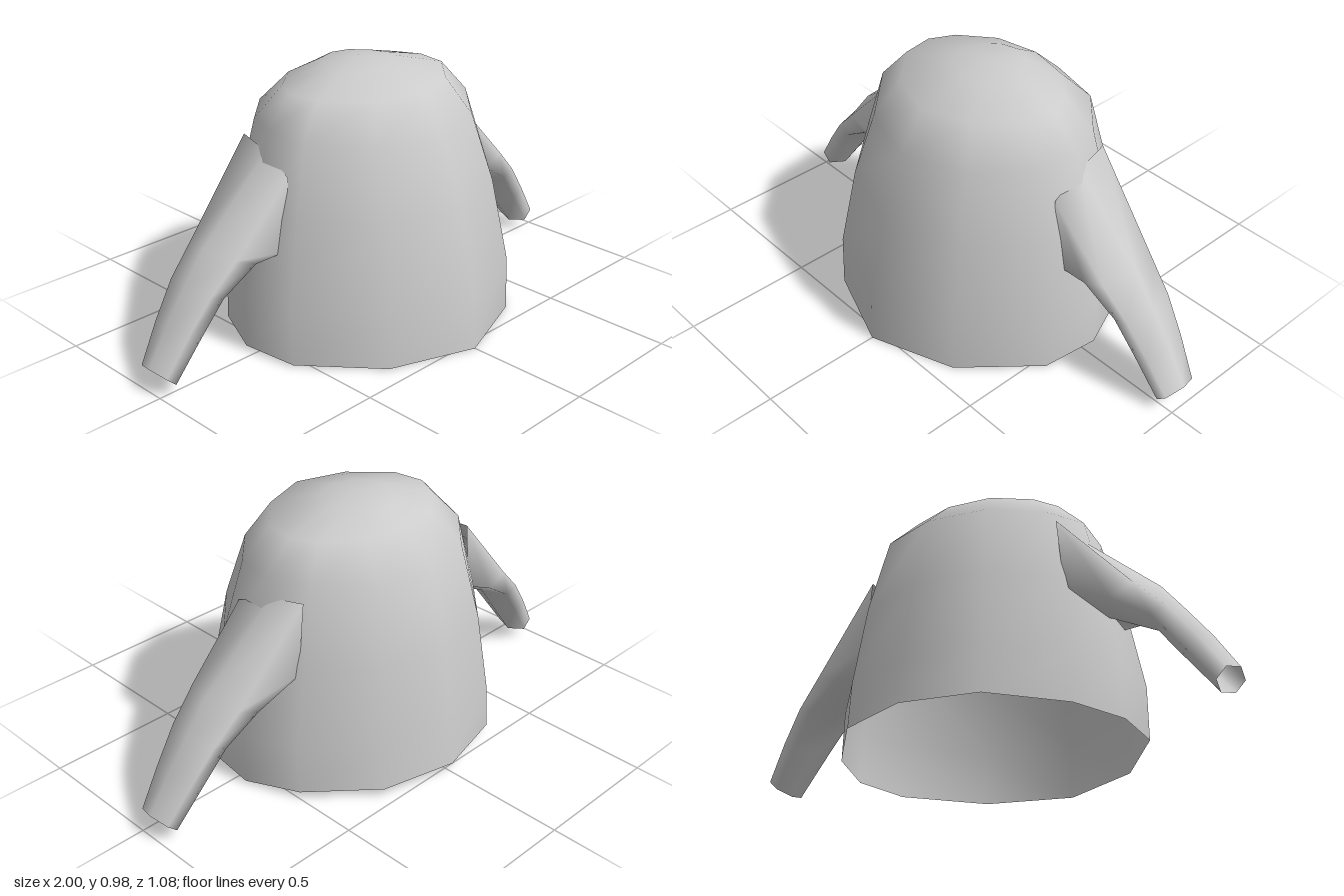
import * as THREE from 'three';

const material = new THREE.MeshStandardMaterial({ color: 0xcccccc, side: THREE.DoubleSide });

// Skin a list of closed rings (arrays of Vector3), optionally closed by an apex point.
function loft(name, rings, apex) {
  const n = rings[0].length;
  const points = rings.flat();
  const index = [];
  for (let r = 0; r < rings.length - 1; r++) {
    for (let i = 0; i < n; i++) {
      const a = r * n + i, b = r * n + (i + 1) % n;
      index.push(a, b, b + n, a, b + n, a + n);
    }
  }
  if (apex) {
    const base = (rings.length - 1) * n;
    for (let i = 0; i < n; i++) index.push(base + i, base + (i + 1) % n, points.length);
    points.push(apex);
  }
  const geometry = new THREE.BufferGeometry().setFromPoints(points);
  geometry.setIndex(index);
  geometry.computeVertexNormals();
  const mesh = new THREE.Mesh(geometry, material);
  mesh.name = name;
  return mesh;
}

// Half outline of the body from front to back: [x, z] as fractions of the ring size.
const outline = [[0, 1], [0.56, 0.8], [0.95, 0.37], [1, 0], [0.86, -0.41], [0.49, -0.85], [0, -1]];

function bodyRing([yFront, ySide, yBack, zFront, zBack, halfWidth]) {
  const half = outline.map(([u, v]) => {
    const y = THREE.MathUtils.lerp(ySide, v > 0 ? yFront : yBack, Math.abs(v));
    const z = -0.05 + (v > 0 ? v * (zFront + 0.05) : -v * (zBack + 0.05));
    return new THREE.Vector3(u * halfWidth, y, z);
  });
  const mirrored = half.slice(1, -1).reverse().map(p => new THREE.Vector3(-p.x, p.y, p.z));
  return [...half, ...mirrored];
}

// Hexagonal sleeve ring between an upper and a lower edge point.
function sleeveRing(side, [topX, topY, lowX, lowY, zFront, zBack, spread = 0.5, skew = 0]) {
  const corners = [[1, 0], [spread, 1], [-spread, 1], [-1, 0], [-spread, -1], [spread, -1]];
  const ring = corners.map(([t, w]) => {
    const k = (t + 1) / 2;
    return new THREE.Vector3(
      side * (THREE.MathUtils.lerp(lowX, topX, k) + skew * 0.6 * w),
      THREE.MathUtils.lerp(lowY, topY, k) - skew * w,
      (zFront + zBack) / 2 + w * (zFront - zBack) / 2);
  });
  return side > 0 ? ring : ring.reverse();
}

export function createModel() {
  const group = new THREE.Group();
  group.name = 'garment';

  // Body shell, open at the hem: yFront, ySide, yBack, zFront, zBack, halfWidth
  const bodyRings = [
    [0, 0.01, 0.04, 0.54, -0.535, 0.575],
    [0.21, 0.2, 0.21, 0.53, -0.52, 0.575],
    [0.52, 0.52, 0.5, 0.46, -0.48, 0.515],
    [0.76, 0.8, 0.785, 0.37, -0.405, 0.44],
    [0.905, 0.905, 0.905, 0.27, -0.28, 0.335],
    [0.955, 0.955, 0.955, 0.08, -0.19, 0.14],
  ].map(bodyRing);
  group.add(loft('body', bodyRings, new THREE.Vector3(0, 0.975, -0.05)));

  // Sleeves, open at the cuff: top x/y, bottom x/y, zFront, zBack, spread, skew
  const sleeve = [
    [0.44, 0.72, 0.47, 0.42, 0.075, -0.205, 0.9, 0.038],
    [0.74, 0.45, 0.57, 0.37, 0.065, -0.18],
    [0.83, 0.335, 0.72, 0.29, 0.05, -0.165],
    [0.92, 0.215, 0.81, 0.17, 0.035, -0.145],
    [1.0, 0.09, 0.925, 0.02, 0.02, -0.12],
  ];
  for (const [name, side] of [['leftSleeve', 1], ['rightSleeve', -1]]) {
    group.add(loft(name, sleeve.map(s => sleeveRing(side, s))));
  }
  return group;
}
